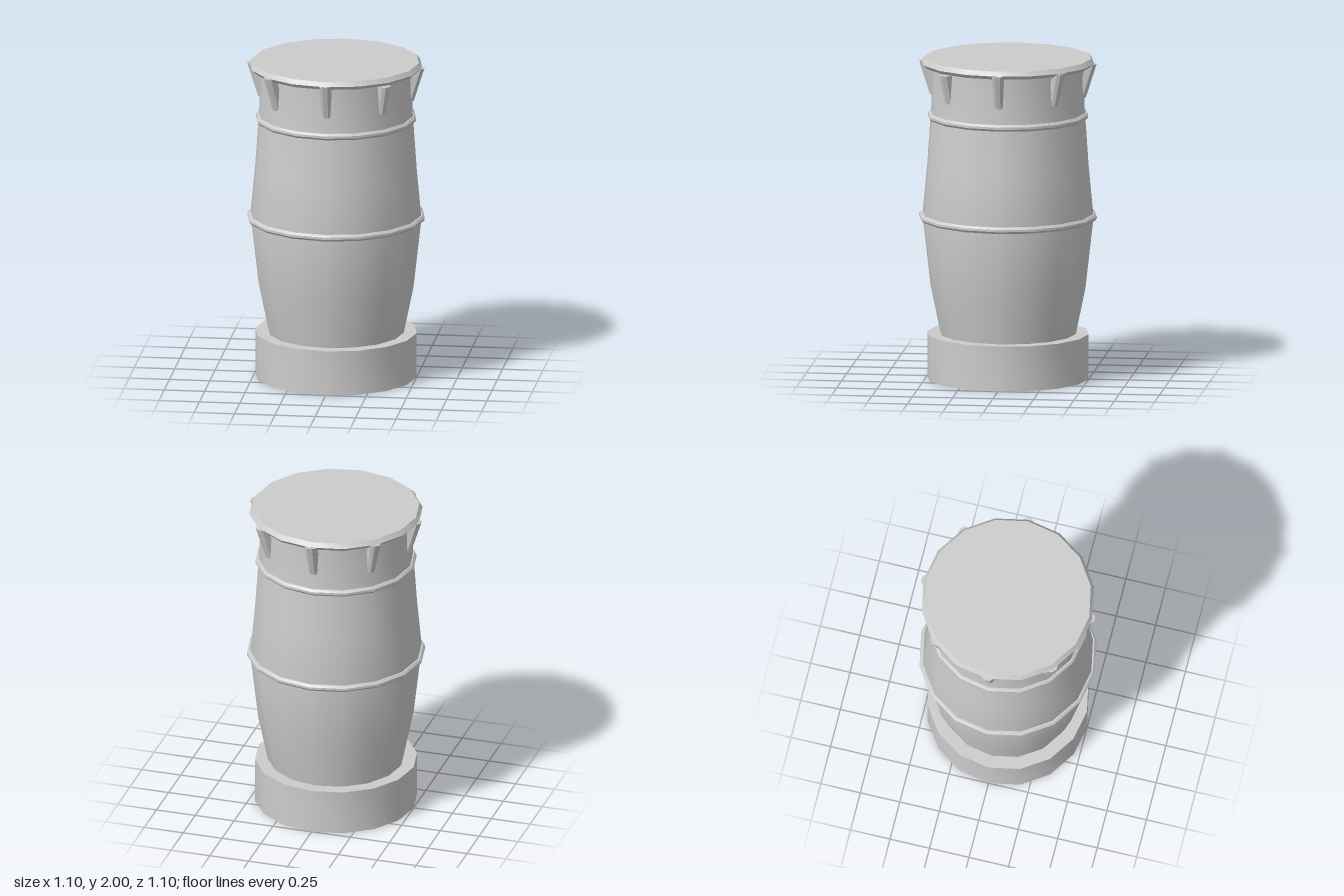
import * as THREE from 'three';
import { toCreasedNormals } from 'three/addons/utils/BufferGeometryUtils.js';

const SIDES = 16;

export function createModel() {
  const model = new THREE.Group();
  model.name = 'barrel';
  const grey = new THREE.MeshStandardMaterial({ color: 0xcccccc });
  grey.name = 'light grey';

  // Turned part with smooth sides and crisp edges; profile runs bottom to top
  const turned = (name, profile) => {
    const points = profile.map(([r, y]) => new THREE.Vector2(r, y));
    const geometry = toCreasedNormals(new THREE.LatheGeometry(points, SIDES), Math.PI / 6);
    const mesh = new THREE.Mesh(geometry, grey);
    mesh.name = name;
    model.add(mesh);
  };

  turned('base', [[0, 0], [0.5, 0], [0.5, 0.28], [0, 0.28]]);
  turned('body', [[0.42, 0.28], [0.48, 0.57], [0.53, 1.01], [0.5, 1.33], [0.48, 1.62], [0.474, 1.7], [0.47, 1.96]]);
  turned('lid', [[0.46, 1.95], [0.515, 1.95], [0.535, 1.972], [0.515, 2], [0, 2]]);

  // Hoops around the body
  const hoop = (name, y, r) => turned(name, [
    [r - 0.04, y - 0.02], [r - 0.012, y - 0.02], [r, y - 0.007],
    [r, y + 0.007], [r - 0.012, y + 0.02], [r - 0.04, y + 0.02],
  ]);
  hoop('middleHoop', 1.01, 0.55);
  hoop('upperHoop', 1.64, 0.497);

  // Chamfered brackets that lean outward and widen toward the lid
  const bracketGeometry = (top, reach) => {
    const bottom = 1.76;
    const shape = new THREE.Shape([
      [-0.035, -0.06], [0.035, -0.06], [0.035, -0.018],
      [0.017, 0], [-0.017, 0], [-0.035, -0.018],
    ].map(([x, y]) => new THREE.Vector2(x, y)));
    const geometry = new THREE.ExtrudeGeometry(shape, { depth: top - bottom, bevelEnabled: false });
    geometry.rotateX(-Math.PI / 2).rotateY(Math.PI);
    const p = geometry.attributes.position;
    for (let i = 0; i < p.count; i++) {
      const t = p.getY(i) / (top - bottom);
      p.setXYZ(i, p.getX(i) * (0.72 + 0.28 * t), p.getY(i) + bottom, p.getZ(i) + 0.482 + (reach - 0.482) * t);
    }
    geometry.computeVertexNormals();
    return geometry;
  };
  const regular = bracketGeometry(1.97, 0.548);
  const lowered = bracketGeometry(1.94, 0.525);
  for (let i = 0; i < 8; i++) {
    // One bracket sits slightly lower than the rest
    const bracket = new THREE.Mesh(i === 1 ? lowered : regular, grey);
    bracket.name = 'bracket' + (i + 1);
    bracket.rotation.y = i * Math.PI / 4;
    model.add(bracket);
  }
  return model;
}
